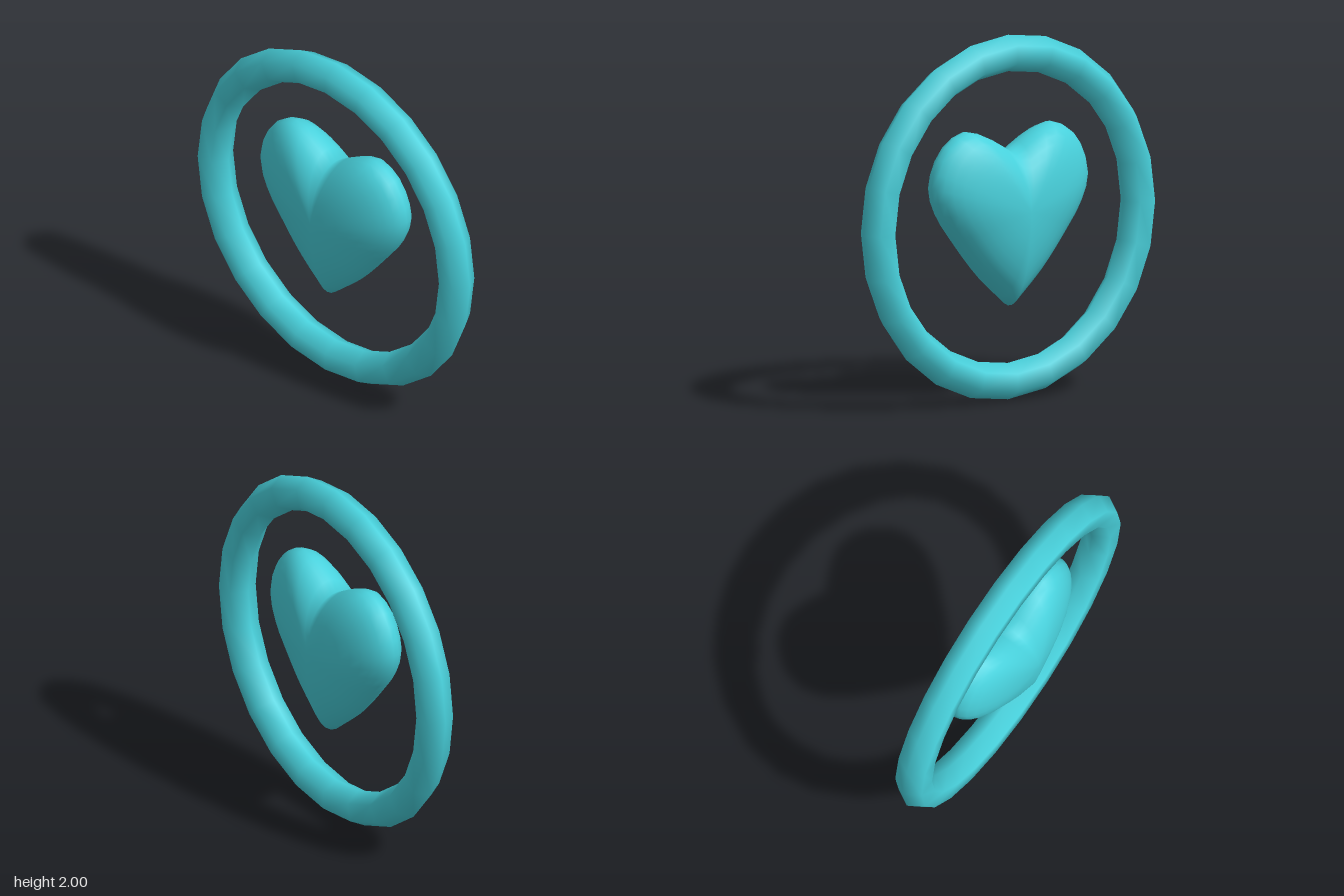
import * as THREE from 'three';
import { mergeVertices } from 'three/addons/utils/BufferGeometryUtils.js';

// Right half of the heart outline, from the bottom tip up to the cleft
const HALF = [
  [0, 0.515], [0.2, 0.695], [0.385, 0.915], [0.475, 1.04], [0.53, 1.19], [0.5, 1.33],
  [0.42, 1.44], [0.3, 1.497], [0.2, 1.475], [0.1, 1.425], [0, 1.365],
];
const CENTRE_Y = 1.05;
const HALF_DEPTH = 0.205;

// Puffed heart: a sphere with poles along z whose rings follow the heart outline
function heartGeometry(samples = 20, rings = 18) {
  const curve = new THREE.CatmullRomCurve3(HALF.map(([x, y]) => new THREE.Vector3(x, y, 0)));
  const right = curve.getSpacedPoints(samples);
  const left = right.slice(0, -1).reverse().map((p) => new THREE.Vector3(-p.x, p.y, 0));
  const outline = [...right, ...left];
  const n = outline.length - 1;

  const geometry = new THREE.SphereGeometry(1, n, rings);
  const pos = geometry.attributes.position;
  for (let i = 0; i < pos.count; i++) {
    const p = outline[i % (n + 1)];
    const a = (Math.floor(i / (n + 1)) / rings) * Math.PI;
    const t = Math.sin(a) < 1e-6 ? 0 : Math.sin(a);
    pos.setXYZ(i, p.x * t, CENTRE_Y + (p.y - CENTRE_Y) * t, HALF_DEPTH * Math.cos(a));
  }
  // Weld the seam and poles so the surface shades smoothly
  geometry.deleteAttribute('uv');
  geometry.deleteAttribute('normal');
  const welded = mergeVertices(geometry, 1e-4);
  welded.computeVertexNormals();
  return welded;
}

export function createModel() {
  const group = new THREE.Group();
  group.name = 'heartInRing';
  const material = new THREE.MeshStandardMaterial({ color: 0x48d1dc });

  // Surrounding ring with a six-sided section
  const ring = new THREE.Mesh(new THREE.TorusGeometry(0.9, 0.1, 6, 24), material);
  ring.name = 'ring';
  ring.position.y = 1;
  group.add(ring);

  // Floating heart
  const heart = new THREE.Mesh(heartGeometry(), material);
  heart.name = 'heart';
  group.add(heart);

  return group;
}
